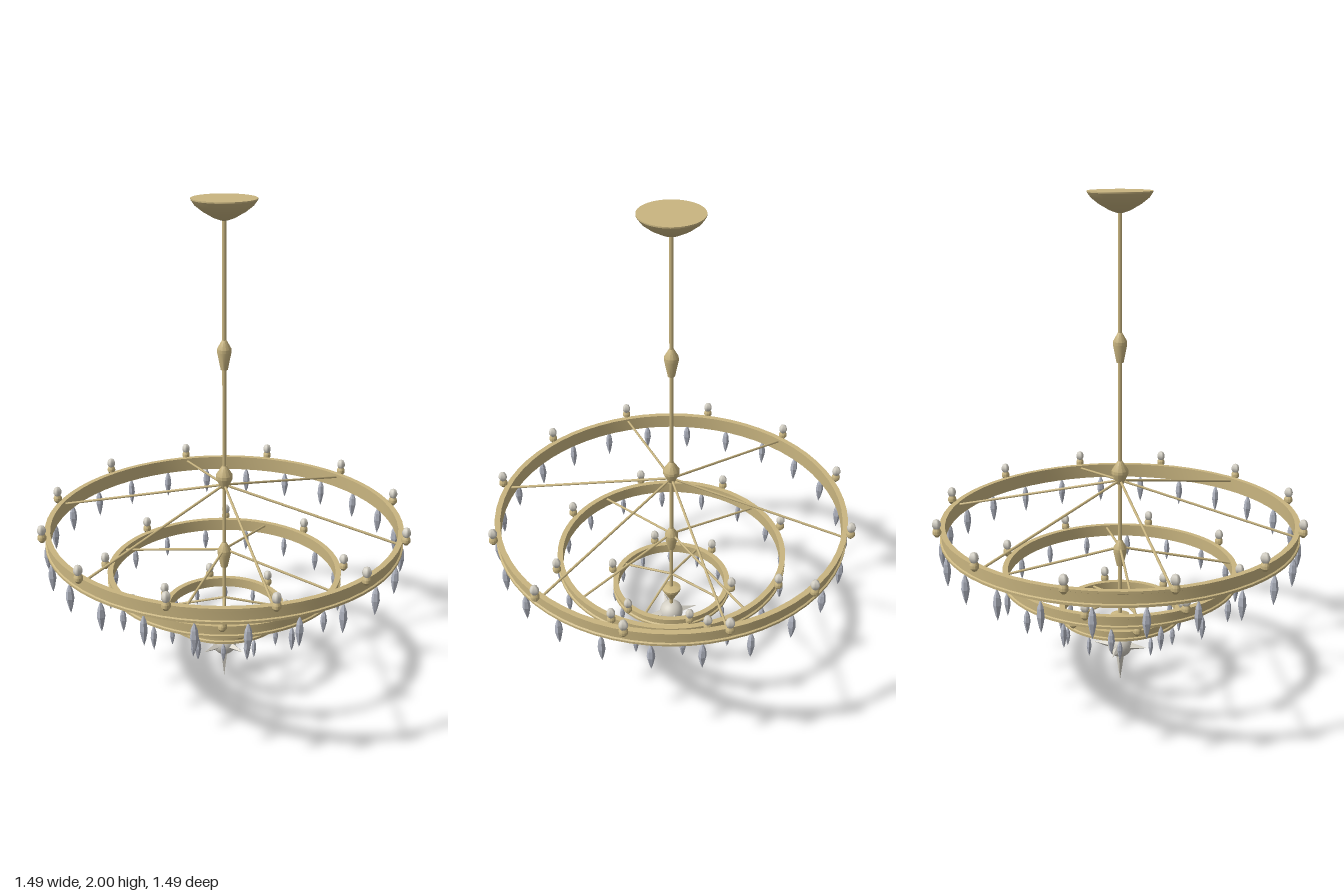
import * as THREE from 'three';
import { toCreasedNormals } from 'three/addons/utils/BufferGeometryUtils.js';

export function createModel() {
  const material = (name, color) => {
    const m = new THREE.MeshStandardMaterial({ color });
    m.name = name;
    return m;
  };
  const brass = material('brass', 0xc9b580);
  const frosted = material('frosted glass', 0xd3cfc4);
  const crystal = material('crystal', 0xb2b6c2);

  const model = new THREE.Group();
  model.name = 'chandelier';

  const lathe = (points, sides, crease = 0.6) =>
    toCreasedNormals(new THREE.LatheGeometry(points.map(([r, y]) => new THREE.Vector2(r, y)), sides), crease);

  function add(parent, name, geometry, mat, x = 0, y = 0, z = 0) {
    const mesh = new THREE.Mesh(geometry, mat);
    mesh.name = name;
    mesh.position.set(x, y, z);
    parent.add(mesh);
    return mesh;
  }

  // Thin bar joining two points
  function bar(parent, name, a, b, radius) {
    const dir = b.clone().sub(a);
    const mesh = add(parent, name, new THREE.CylinderGeometry(radius, radius, dir.length(), 8), brass);
    mesh.position.copy(a).add(b).multiplyScalar(0.5);
    mesh.quaternion.setFromUnitVectors(new THREE.Vector3(0, 1, 0), dir.normalize());
  }

  // Calls place(x, z, angle) evenly around a circle
  function around(count, radius, start, place) {
    for (let i = 0; i < count; i++) {
      const a = start + (i / count) * Math.PI * 2;
      place(Math.cos(a) * radius, Math.sin(a) * radius, a);
    }
  }

  // Ceiling canopy and central stem
  add(model, 'canopy', lathe([[0, 1.92], [0.012, 1.92], [0.04, 1.93], [0.08, 1.953], [0.108, 1.975],
    [0.122, 1.995], [0.122, 2], [0, 2]], 40), brass);
  add(model, 'stem', new THREE.CylinderGeometry(0.008, 0.008, 1.73, 12), brass, 0, 1.065, 0);

  // Faceted knots along the stem
  const knot = (y, r, up, down) => add(model, 'stemKnot',
    lathe([[0.008, -down], [0.014, -down], [r, -0.006], [r, 0.006], [0.009, up], [0.008, up]], 12), brass, 0, y, 0);
  knot(1.435, 0.028, 0.04, 0.075);
  knot(0.92, 0.034, 0.045, 0.05);
  knot(0.59, 0.028, 0.04, 0.07);

  // Shared lamp and pendant shapes
  const cup = lathe([[0, -0.012], [0.008, -0.012], [0.017, 0], [0.017, 0.012], [0.012, 0.022], [0, 0.022]], 12);
  const bulb = lathe([[0, 0.016], [0.011, 0.02], [0.017, 0.032], [0.017, 0.042], [0.012, 0.054], [0, 0.061]], 12, 1.2);
  const drop = lathe([[0, -1], [0.065, -0.8], [0.125, -0.5], [0.1, -0.25], [0.03, -0.06], [0, 0]], 6, 0.1);

  const tiers = [
    { name: 'lowerTier', r: 0.249, y0: 0.305, y1: 0.345, hub: 0.378, end: 0.335, bulbs: 6, drops: 12, len: 0.085, spokes: 4, turn: Math.PI / 4 },
    { name: 'middleTier', r: 0.476, y0: 0.47, y1: 0.52, hub: 0.6, end: 0.505, bulbs: 8, drops: 16, len: 0.105, spokes: 4, turn: -Math.PI / 8 },
    { name: 'upperTier', r: 0.715, y0: 0.67, y1: 0.73, hub: 0.885, end: 0.715, bulbs: 12, drops: 24, len: 0.125, spokes: 6, turn: 0 },
  ];
  for (const t of tiers) {
    const tier = new THREE.Group();
    tier.name = t.name;
    model.add(tier);

    // Hoop with a raised lip on both edges
    const { r, y0, y1 } = t, w = r - 0.006, n = r - 0.022, lip = 0.009;
    add(tier, 'hoop', lathe([[n, y0], [r, y0], [r, y0 + lip], [w, y0 + lip + 0.003], [w, y1 - lip - 0.003],
      [r, y1 - lip], [r, y1], [n, y1], [n, y0]], 64, 0.3), brass);

    // Spokes sloping down from the stem
    around(t.spokes, r - 0.014, t.turn, (x, z) =>
      bar(tier, 'spoke', new THREE.Vector3(0, t.hub, 0), new THREE.Vector3(x, t.end, z), 0.005));

    // Lamps on the hoop
    around(t.bulbs, r + 0.012, 0, (x, z) => {
      add(tier, 'lampCup', cup, brass, x, y1, z);
      add(tier, 'bulb', bulb, frosted, x, y1, z);
    });

    // Hanging crystal drops
    around(t.drops, r - 0.006, Math.PI / t.drops, (x, z, a) => {
      const d = add(tier, 'crystalDrop', drop, crystal, x, y0 + 0.002, z);
      d.scale.setScalar(t.len);
      d.rotation.y = -a;
    });
  }

  // Bottom finial: cone, ball and star spikes
  add(model, 'finialCone', lathe([[0, 0.235], [0.01, 0.235], [0.04, 0.29], [0.04, 0.3], [0.012, 0.31], [0, 0.31]], 16), brass);
  add(model, 'finialBall', new THREE.SphereGeometry(0.05, 24, 16), frosted, 0, 0.162, 0);
  const spike = toCreasedNormals(new THREE.ConeGeometry(0.018, 0.075, 4).translate(0, 0.0775, 0), 0.1);
  around(4, 1, 0, (x, z) => {
    const s = add(model, 'sideSpike', spike, frosted, 0, 0.162, 0);
    s.quaternion.setFromUnitVectors(new THREE.Vector3(0, 1, 0), new THREE.Vector3(x, 0, z));
  });
  const tip = add(model, 'bottomSpike', toCreasedNormals(new THREE.ConeGeometry(0.018, 0.122, 4), 0.1), frosted, 0, 0.061, 0);
  tip.rotation.x = Math.PI;

  return model;
}
